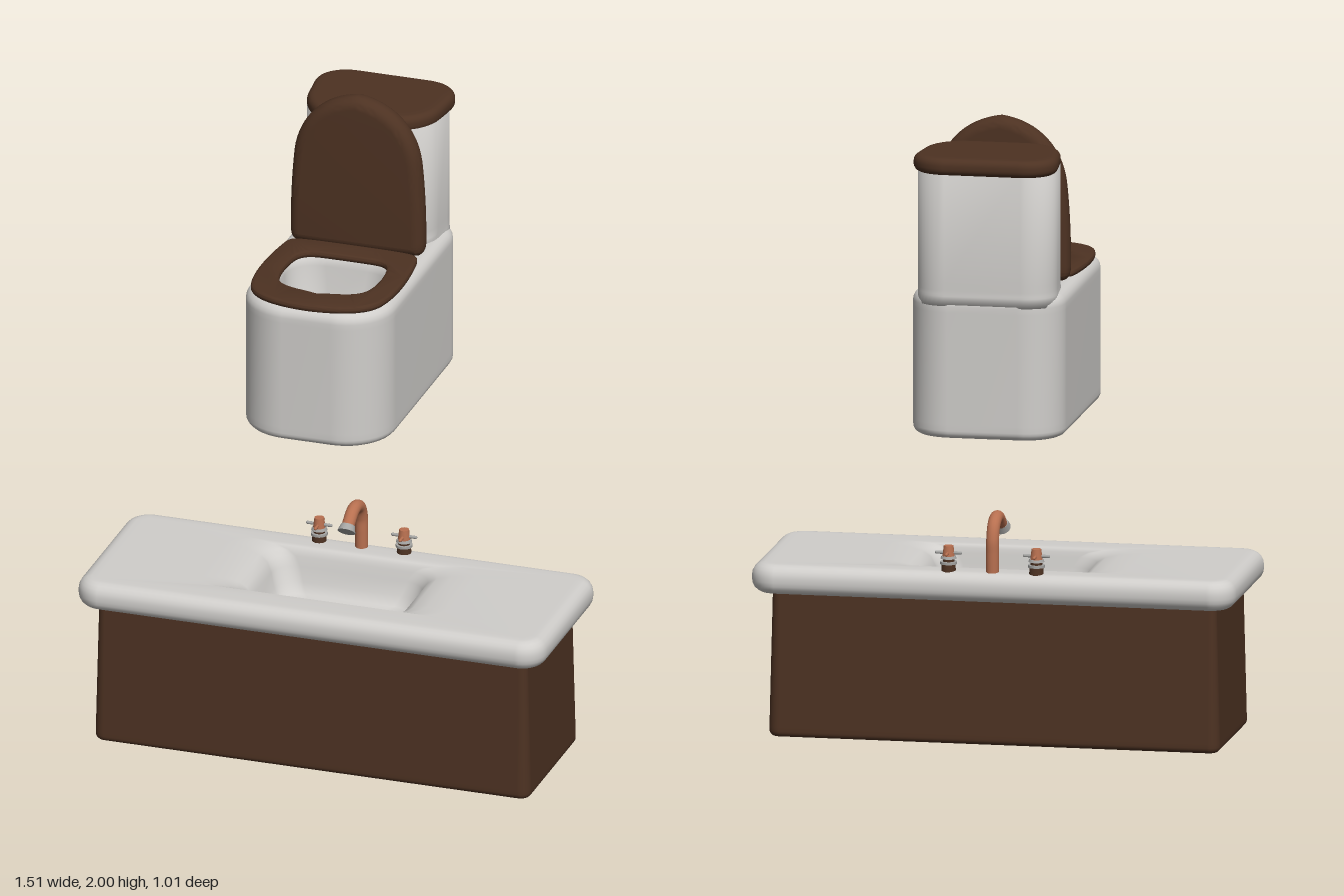
import * as THREE from 'three';
import { toCreasedNormals } from 'three/addons/utils/BufferGeometryUtils.js';

const mat = (name, color) => Object.assign(new THREE.MeshStandardMaterial({ color }), { name });

// Rounded rectangle loop in plan; separate front (+z) and back radii, taper narrows the front
function loop({ cx = 0, hx, z0, z1, rf, rb = rf, taper = 0 }, y, d = 0) {
  const pts = [], n = 10, X = hx - d, A = z0 + d, B = z1 - d;
  const corners = [[1, 1, 0], [-1, 1, 1], [-1, -1, 2], [1, -1, 3]];
  for (const [sx, sz, q] of corners) {
    const r = Math.max(0.008, Math.min((sz > 0 ? rf : rb) - d, X - 0.002));
    for (let i = 0; i <= n; i++) {
      const a = (q + i / n) * Math.PI / 2;
      const z = (sz > 0 ? B - r : A + r) + r * Math.sin(a);
      const k = 1 - taper * (2 * (z - A) / (B - A) - 1);
      pts.push([cx + (sx * (X - r) + r * Math.cos(a)) * k, y, z]);
    }
  }
  return pts;
}

// Skin a stack of equal-sized loops, optionally closing the ends
function loft(rings, capStart = true, capEnd = true) {
  const pos = rings.flat(2), idx = [], n = rings[0].length, last = (rings.length - 1) * n;
  for (let i = 0; i < rings.length - 1; i++) for (let j = 0; j < n; j++) {
    const a = i * n + j, b = i * n + (j + 1) % n;
    idx.push(a, a + n, b, b, a + n, b + n);
  }
  const cap = (start, flip) => {
    const c = pos.length / 3;
    for (let k = 0; k < 3; k++) {
      let s = 0;
      for (let j = 0; j < n; j++) s += pos[(start + j) * 3 + k];
      pos.push(s / n);
    }
    for (let j = 0; j < n; j++) {
      const a = start + j, b = start + (j + 1) % n;
      if (flip) idx.push(c, b, a); else idx.push(c, a, b);
    }
  };
  if (capStart) cap(0, false);
  if (capEnd) cap(last, true);
  const g = new THREE.BufferGeometry();
  g.setAttribute('position', new THREE.Float32BufferAttribute(pos, 3));
  g.setIndex(idx);
  g.computeVertexNormals();
  return g;
}

// Quarter-round edges, as loops of one outline
const steps = [0, 1, 2, 3, 4, 5].map(i => i * Math.PI / 10);
const roundBottom = (o, y, r) => steps.map(a => loop(o, y + r * (1 - Math.cos(a)), r * (1 - Math.sin(a))));
const roundTop = (o, y, r, d = 0) => steps.map(a => loop(o, y - r * (1 - Math.sin(a)), d + r * (1 - Math.cos(a))));

// Closed outline mirrored about x = cx from a half path of bezier segments
function outline(cx, start, segs, Type) {
  const s = new Type();
  s.moveTo(cx + start[0], start[1]);
  for (const [a, b, c, d, e, f] of segs) s.bezierCurveTo(cx + a, b, cx + c, d, cx + e, f);
  for (let i = segs.length - 1; i >= 0; i--) {
    const [a, b, c, d] = segs[i];
    const [e, f] = i ? segs[i - 1].slice(4) : start;
    s.bezierCurveTo(cx - c, d, cx - a, b, cx - e, f);
  }
  return s;
}

function slab(shape, thickness, bevel, size) {
  const g = new THREE.ExtrudeGeometry(shape, {
    depth: thickness - 2 * bevel, bevelThickness: bevel, bevelSize: size,
    bevelOffset: -size, bevelSegments: 6, curveSegments: 16,
  });
  g.translate(0, 0, bevel);
  return toCreasedNormals(g, 0.7);
}

export function createModel() {
  const white = mat('porcelain', 0xd0cecb);
  const brown = mat('dark wood', 0x4d3222);
  const copper = mat('copper', 0xb87050);
  const chrome = mat('chrome', 0xa5a5a3);
  const model = new THREE.Group();
  const add = (name, geo, material, parent = model) => {
    const m = new THREE.Mesh(geo, material);
    m.name = name;
    parent.add(m);
    return m;
  };

  // Vanity cabinet, slightly tapered
  const cab = { hx: 0.703, z0: -0.03, z1: 0.455, rf: 0.035 };
  add('cabinet', loft([loop(cab, 0, 0.05), ...roundBottom(cab, 0, 0.018), loop(cab, 0.03, 0),
    loop(cab, 0.47, 0.011)], true, false), brown);

  // Countertop flowing into a sunken basin
  const top = { hx: 0.755, z0: -0.083, z1: 0.503, rf: 0.08 };
  const basin = (y, hx, z0, z1, rf) => loop({ hx, z0, z1, rf }, y);
  add('countertop', loft([
    loop(top, 0.452, 0.09), loop(top, 0.452, 0.05), ...roundBottom(top, 0.452, 0.04),
    ...roundTop(top, 0.545, 0.04), loop(top, 0.545, 0.06),
    basin(0.545, 0.40, 0.012, 0.385, 0.07),
    basin(0.541, 0.33, 0.022, 0.378, 0.07),
    basin(0.531, 0.285, 0.03, 0.374, 0.07),
    basin(0.515, 0.258, 0.036, 0.371, 0.07),
    basin(0.485, 0.242, 0.044, 0.366, 0.07),
    basin(0.44, 0.228, 0.056, 0.358, 0.07),
    basin(0.41, 0.208, 0.075, 0.34, 0.065),
    basin(0.40, 0.17, 0.105, 0.31, 0.06),
    basin(0.397, 0.10, 0.15, 0.26, 0.04),
  ], false, true), white);

  // Gooseneck tap
  const tap = new THREE.Group();
  tap.name = 'tap';
  model.add(tap);
  const path = new THREE.CatmullRomCurve3([[0.54, -0.035], [0.60, -0.035], [0.645, -0.033], [0.685, -0.015],
    [0.703, 0.022], [0.698, 0.055], [0.68, 0.082], [0.668, 0.098]].map(([y, z]) => new THREE.Vector3(0, y, z)));
  add('spout', new THREE.TubeGeometry(path, 40, 0.02, 16), copper, tap);
  const tip = add('spoutTip', new THREE.CylinderGeometry(0.022, 0.028, 0.022, 20), chrome, tap);
  tip.position.set(0, 0.664, 0.103);
  tip.rotation.x = -0.75;

  // Cross-handled valves
  for (const side of [-1, 1]) {
    const valve = new THREE.Group();
    valve.name = side > 0 ? 'leftValve' : 'rightValve';
    valve.position.set(side * 0.137, 0, -0.035);
    model.add(valve);
    const disc = (name, r0, r1, y0, y1, m) =>
      add(name, new THREE.CylinderGeometry(r1, r0, y1 - y0, 20), m, valve).position.y = (y0 + y1) / 2;
    disc('valveBase', 0.023, 0.021, 0.54, 0.565, brown);
    disc('valveCollar', 0.026, 0.026, 0.565, 0.573, chrome);
    disc('valveNeck', 0.018, 0.018, 0.573, 0.582, brown);
    disc('valveRing', 0.025, 0.022, 0.582, 0.59, chrome);
    disc('valveKnob', 0.019, 0.015, 0.59, 0.622, copper);
    for (const turn of [0, Math.PI / 2]) {
      const bar = add('valveHandle', new THREE.CapsuleGeometry(0.005, 0.075, 4, 10), turn ? copper : chrome, valve);
      bar.position.y = 0.6;
      bar.rotation.set(turn, 0, turn ? 0 : Math.PI / 2);
    }
  }

  // Toilet body with hollow bowl
  const cx = -0.053;
  const body = { cx, hx: 0.238, z0: -0.47, z1: 0.345, rf: 0.16, rb: 0.13 };
  const bowl = (y, hx, z0, z1, rf) => loop({ cx, hx, z0, z1, rf, taper: 0.06 }, y);
  add('toiletBody', loft([
    loop(body, 1.045, 0.08), ...roundBottom(body, 1.045, 0.025), loop(body, 1.09),
    loop(body, 1.44), ...roundTop(body, 1.493, 0.035), loop(body, 1.493, 0.045),
    bowl(1.493, 0.185, -0.06, 0.255, 0.12), bowl(1.488, 0.17, -0.05, 0.245, 0.11),
    bowl(1.465, 0.163, -0.045, 0.24, 0.1), bowl(1.36, 0.15, -0.03, 0.222, 0.1),
    bowl(1.29, 0.125, -0.005, 0.195, 0.09), bowl(1.26, 0.085, 0.035, 0.155, 0.055),
  ]), white);

  // Cistern with a small flare where it meets the body
  const tank = { cx, hx: 0.213, z0: -0.468, z1: -0.2, rf: 0.1, rb: 0.1, taper: 0.05 };
  add('cistern', loft([loop(tank, 1.46, -0.001), loop(tank, 1.49, -0.001), loop({ ...tank, z1: -0.19 }, 1.497),
    loop({ ...tank, z1: -0.196 }, 1.508), loop(tank, 1.53), loop(tank, 1.885)]), white);
  const tankLid = { cx, hx: 0.218, z0: -0.505, z1: -0.19, rf: 0.12, rb: 0.11, taper: 0.08 };
  add('cisternLid', loft([loop(tankLid, 1.873, 0.05), ...roundBottom(tankLid, 1.873, 0.022),
    ...roundTop(tankLid, 1.926, 0.022), loop(tankLid, 1.927, 0.04)]), brown);

  // Seat ring, drawn with the front downwards and laid flat
  const seatShape = outline(cx, [0, -0.345], [
    [0.10, -0.342, 0.19, -0.315, 0.212, -0.24],
    [0.24, -0.15, 0.228, 0, 0.215, 0.08],
    [0.21, 0.115, 0.20, 0.122, 0.16, 0.126],
    [0.11, 0.13, 0.05, 0.13, 0, 0.13]], THREE.Shape);
  seatShape.holes.push(outline(cx, [0, -0.242], [
    [0.05, -0.225, 0.12, -0.23, 0.142, -0.175],
    [0.158, -0.13, 0.158, -0.06, 0.148, -0.01],
    [0.138, 0.035, 0.11, 0.04, 0.08, 0.041],
    [0.05, 0.042, 0.03, 0.042, 0, 0.042]], THREE.Path));
  const seat = add('seat', slab(seatShape, 0.023, 0.009, 0.012), brown);
  seat.rotation.x = -Math.PI / 2;
  seat.position.y = 1.489;

  // Raised seat lid
  const lidShape = outline(cx, [0, 1.49], [
    [0.08, 1.49, 0.15, 1.49, 0.19, 1.492],
    [0.21, 1.495, 0.216, 1.51, 0.216, 1.54],
    [0.216, 1.63, 0.212, 1.72, 0.203, 1.80],
    [0.19, 1.90, 0.12, 1.985, 0, 2.0]], THREE.Shape);
  add('seatLid', slab(lidShape, 0.076, 0.034, 0.034), brown).position.z = -0.2;

  return model;
}
